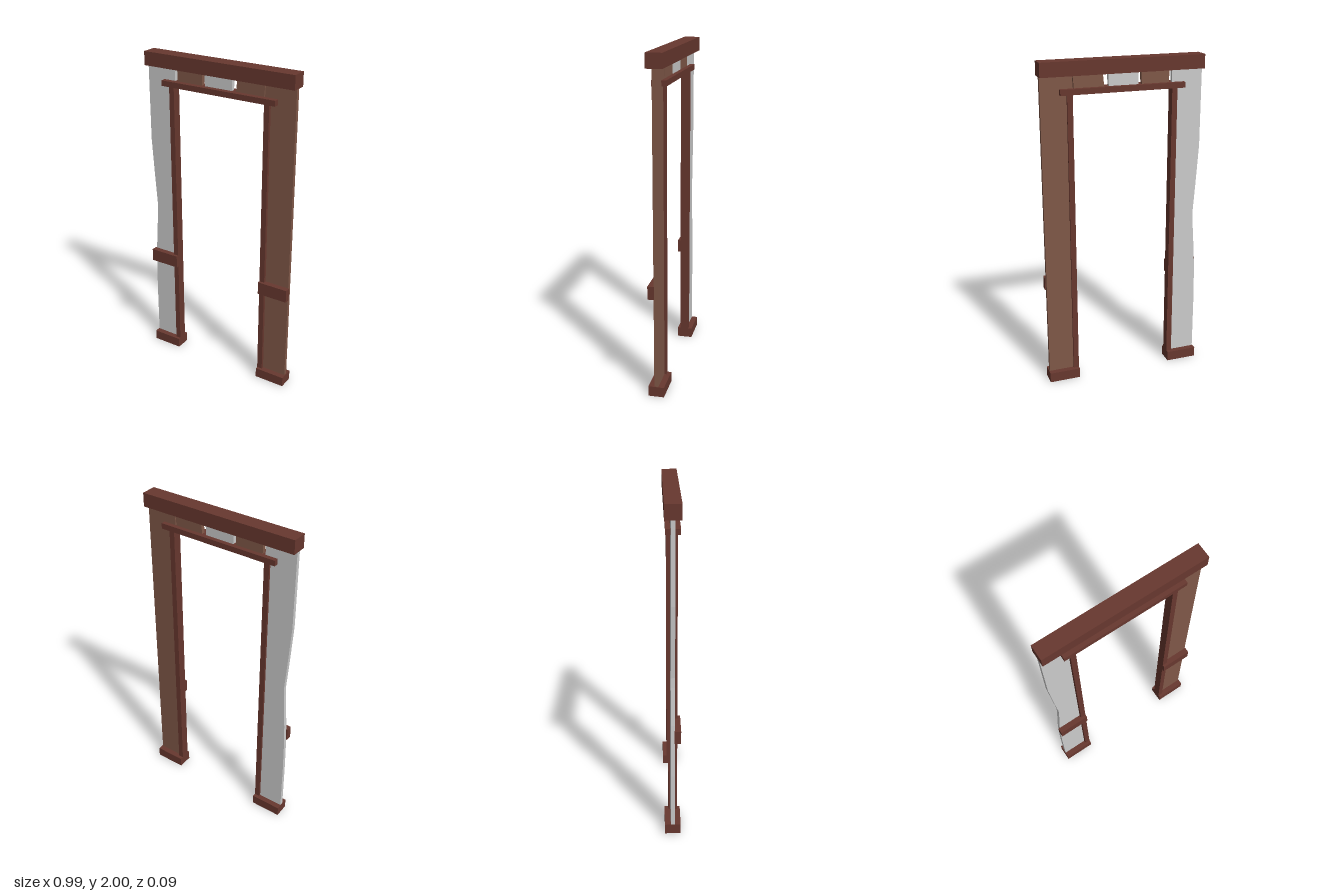
import * as THREE from 'three';

const darkWood = new THREE.MeshStandardMaterial({ color: 0x68382f });
const wood = new THREE.MeshStandardMaterial({ color: 0x805848 });
const grey = new THREE.MeshStandardMaterial({ color: 0xcccccc });

export function createModel() {
  const model = new THREE.Group();

  // Box given by its limits on each axis
  const box = (name, x0, x1, y0, y1, z0, z1, mat = darkWood) => {
    const mesh = new THREE.Mesh(new THREE.BoxGeometry(x1 - x0, y1 - y0, z1 - z0), mat);
    mesh.position.set((x0 + x1) / 2, (y0 + y1) / 2, (z0 + z1) / 2);
    mesh.name = name;
    model.add(mesh);
  };

  // Thin board cut from an outline in the front plane
  const board = (name, points, mat, thickness = 0.024) => {
    const shape = new THREE.Shape(points.map(([x, y]) => new THREE.Vector2(x, y)));
    const geometry = new THREE.ExtrudeGeometry(shape, { depth: thickness, bevelEnabled: false });
    geometry.translate(0, 0, -thickness / 2);
    const mesh = new THREE.Mesh(geometry, mat);
    mesh.name = name;
    model.add(mesh);
  };

  // Head beam and lintel
  box('topBeam', -0.495, 0.495, 1.917, 2, -0.047, 0.047);
  box('lintel', -0.378, 0.378, 1.81, 1.843, -0.039, 0.045);

  // Jamb, foot and front rail on each side
  for (const [side, s] of [['left', 1], ['right', -1]]) {
    const pair = (a, b) => (s > 0 ? [a, b] : [-b, -a]);
    box(side + 'Jamb', ...pair(0.302, 0.335), 0.003, 1.812, -0.024, 0.03);
    box(side + 'Foot', ...pair(0.302, 0.495), 0, 0.062, -0.047, 0.047);
    box(side + 'Rail', ...pair(0.302, 0.495), 0.618, 0.698, 0.01, 0.047);
  }

  // Straight wooden side panel, notched round the jamb
  board('leftPanel', [
    [0.33, 0.03], [0.49, 0.03], [0.49, 1.92], [0.302, 1.92], [0.296, 1.82], [0.33, 1.82],
  ], wood);

  // Worn side panel with a hollow outer edge
  board('rightPanel', [
    [-0.33, 0.03], [-0.33, 1.82], [-0.303, 1.82], [-0.303, 1.92], [-0.493, 1.92],
    [-0.493, 1.45], [-0.477, 1.2], [-0.464, 1.02], [-0.466, 0.96], [-0.483, 0.73],
    [-0.489, 0.58], [-0.492, 0.4], [-0.492, 0.03],
  ], grey);

  // Uneven boards between lintel and beam
  const transom = [
    [-0.287, -0.113, -0.284, -0.116, wood],
    [-0.096, 0.088, -0.096, 0.084, grey],
    [0.12, 0.298, 0.11, 0.29, wood],
  ];
  transom.forEach(([topL, topR, botL, botR, mat], i) => {
    board('transomBoard' + (i + 1), [[botL, 1.82], [botR, 1.82], [topR, 1.92], [topL, 1.92]], mat);
  });

  return model;
}
